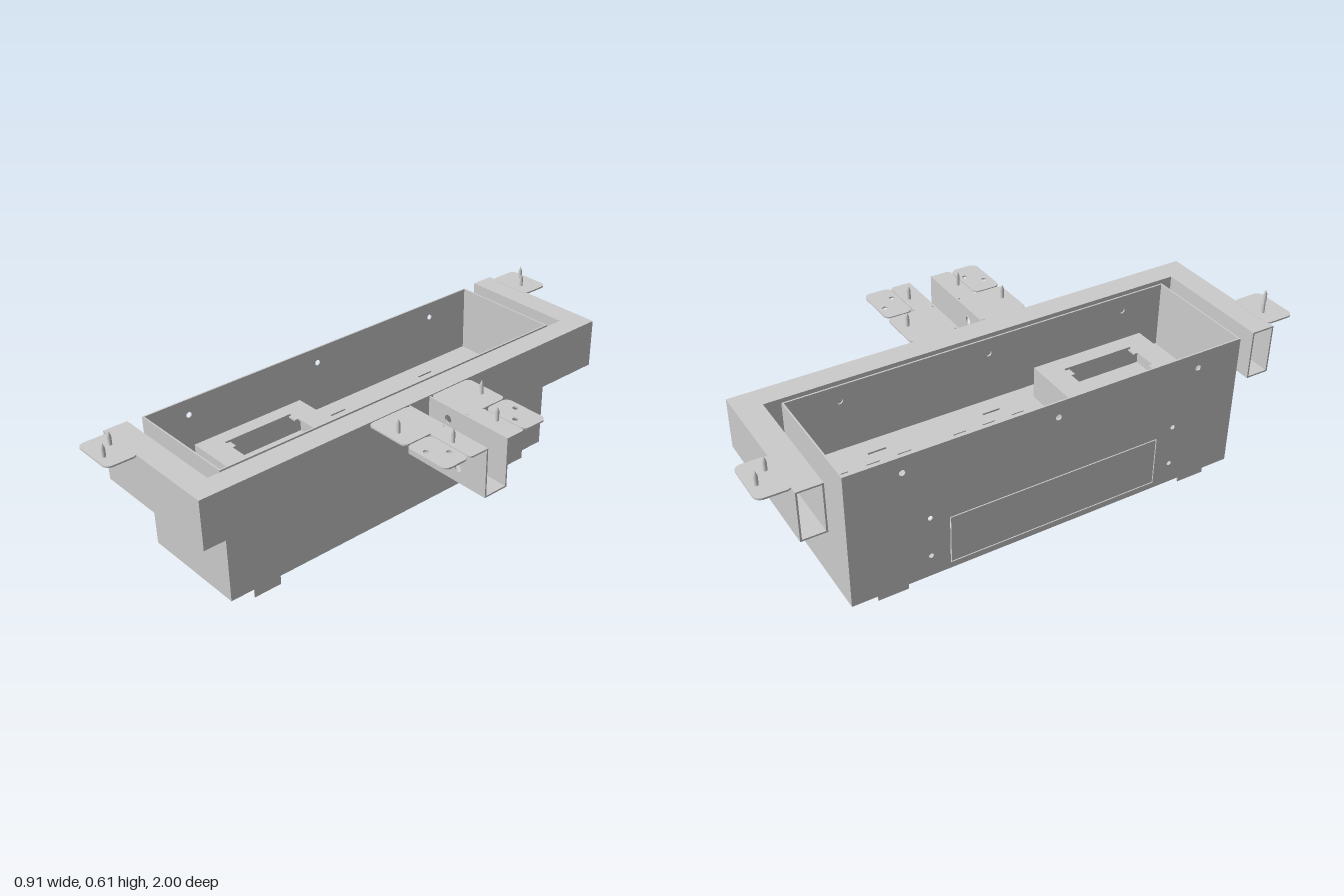
import * as THREE from 'three';

const material = new THREE.MeshStandardMaterial({ color: 0xcccccc, side: THREE.DoubleSide });
const T = 0.006; // sheet thickness

function add(parent, name, geometry, x = 0, y = 0, z = 0) {
  const mesh = new THREE.Mesh(geometry, material);
  mesh.name = name;
  mesh.position.set(x, y, z);
  parent.add(mesh);
  return mesh;
}

// Box given by its limits on each axis
function slab(parent, name, [x0, x1], [y0, y1], [z0, z1]) {
  return add(parent, name, new THREE.BoxGeometry(x1 - x0, y1 - y0, z1 - z0),
    (x0 + x1) / 2, (y0 + y1) / 2, (z0 + z1) / 2);
}

// Rectangle outline with optionally rounded corners
function rect(x0, x1, y0, y1, r = 0, Kind = THREE.Shape) {
  const s = new Kind();
  if (!r) return s.moveTo(x0, y0).lineTo(x1, y0).lineTo(x1, y1).lineTo(x0, y1).closePath();
  s.absarc(x1 - r, y0 + r, r, -Math.PI / 2, 0);
  s.absarc(x1 - r, y1 - r, r, 0, Math.PI / 2);
  s.absarc(x0 + r, y1 - r, r, Math.PI / 2, Math.PI);
  s.absarc(x0 + r, y0 + r, r, Math.PI, Math.PI * 1.5);
  return s.closePath();
}
const slot = (x0, x1, y0, y1) => rect(x0, x1, y0, y1, 0, THREE.Path);
const hole = (x, y, r) => new THREE.Path().absarc(x, y, r, 0, Math.PI * 2, true);

function sheet(shape, holes, depth = T, curveSegments = 8) {
  shape.holes.push(...holes);
  return new THREE.ExtrudeGeometry(shape, { depth, bevelEnabled: false, curveSegments });
}
// Shape drawn in x,z with its upper face at y
const flat = (parent, name, shape, y, holes = [], depth = T) =>
  add(parent, name, sheet(shape, holes, depth).rotateX(Math.PI / 2), 0, y, 0);
// Shape drawn in z,y with its +x face at x
const sideWall = (parent, name, shape, x, holes = []) =>
  add(parent, name, sheet(shape, holes).rotateY(-Math.PI / 2), x, 0, 0);

// Upward pointing screw with its head under the sheet
function screw(parent, x, z) {
  const profile = [[0, 0.54], [0.009, 0.541], [0.013, 0.547], [0.013, 0.55],
    [0.007, 0.551], [0.007, 0.588], [0, 0.606]].map(p => new THREE.Vector2(...p));
  add(parent, 'screw', new THREE.LatheGeometry(profile, 12), x, 0, z);
}

function buildTrough() {
  const g = new THREE.Group();
  g.name = 'trough';
  const X0 = -0.455, X1 = -0.015, Z = 0.745, Y0 = 0.037, Y1 = 0.55;
  const rimHoles = () => [-0.55, 0.01, 0.57].map(z => hole(z, 0.49, 0.011));

  // Outer long wall with an access opening and its inset cover
  const outerHoles = [...rimHoles(), slot(-0.39, 0.42, 0.06, 0.25)];
  for (const z of [-0.46, 0.485]) for (const y of [0.12, 0.275]) outerHoles.push(hole(z, y, 0.009));
  sideWall(g, 'outerWall', rect(-Z, Z, Y0, Y1), X0 + T, outerHoles);
  sideWall(g, 'accessCover', rect(-0.386, 0.416, 0.064, 0.246), X0 + T);
  sideWall(g, 'innerWall', rect(-Z, Z, Y0, Y1), X1, rimHoles());
  for (const s of [-1, 1]) {
    slab(g, 'endWall', [X0, X1], [Y0, Y1], s > 0 ? [Z - T, Z] : [-Z, -Z + T]);
  }

  // Floor with a round opening, its notches and a slotted knockout
  const floorHoles = [hole(-0.23, -0.4, 0.125)];
  for (const x of [-0.325, -0.145]) {
    for (const z of [-0.18, -0.09, 0, 0.09]) floorHoles.push(slot(x, x + 0.01, z, z + 0.07));
  }
  for (const z of [-0.2, 0.17]) floorHoles.push(slot(-0.3, -0.16, z, z + 0.008));
  flat(g, 'floor', rect(X0, X1, -Z, Z), Y0 + T, floorHoles);
  for (let i = 0; i < 4; i++) {
    const a = Math.PI / 4 + i * Math.PI / 2;
    const lug = add(g, 'openingLug', new THREE.BoxGeometry(0.03, T, 0.05),
      -0.23 + Math.cos(a) * 0.115, Y0 + T / 2, -0.4 + Math.sin(a) * 0.115);
    lug.rotation.y = -a;
  }

  // Mounting feet hanging from the floor edges
  for (const z of [-0.595, 0.595]) {
    slab(g, 'foot', [-0.447, -0.443], [0.01, 0.045], [z - 0.055, z + 0.055]);
    slab(g, 'foot', [-0.022, -0.018], [0, 0.045], [z - 0.055, z + 0.055]);
  }
  return g;
}

function buildInnerPanel() {
  const g = new THREE.Group();
  g.name = 'innerPanel';
  const Y = 0.3, TOP = 0.42;
  const holes = [];
  for (const z of [-0.46, -0.02]) {
    for (const x of [-0.375, -0.09]) holes.push(slot(x - 0.004, x + 0.004, z - 0.035, z + 0.035));
  }
  for (const z of [-0.27, 0.625]) {
    holes.push(slot(-0.255, -0.21, z - 0.015, z - 0.005), slot(-0.255, -0.21, z + 0.005, z + 0.015));
  }
  // Slits around the two closed device positions
  for (const z of [-0.5, -0.06]) {
    for (const x of [-0.325, -0.147]) {
      for (const dz of [-0.115, 0, 0.115]) holes.push(slot(x, x + 0.007, z + dz - 0.025, z + dz + 0.025));
    }
  }
  flat(g, 'panel', rect(-0.445, -0.022, -0.735, 0.735), Y, holes);
  for (const z of [-0.5, -0.06]) {
    flat(g, 'deviceCover', rect(-0.316, -0.149, z - 0.14, z + 0.14), Y + 0.004, [], 0.004);
    for (const s of [-1, 1]) {
      flat(g, 'coverEar', rect(-0.275, -0.19, z + s * 0.147 - 0.007, z + s * 0.147 + 0.007), Y + 0.004,
        [hole(-0.232, z + s * 0.147, 0.004)], 0.004);
    }
  }

  // Raised housing with an open device window
  flat(g, 'housingTop', rect(-0.375, -0.085, 0.155, 0.605), TOP, [slot(-0.32, -0.145, 0.24, 0.52)]);
  for (const x of [-0.375, -0.085 - T]) slab(g, 'housingSide', [x, x + T], [Y, TOP], [0.155, 0.605]);
  for (const z of [0.155, 0.605 - T]) slab(g, 'housingEnd', [-0.375, -0.085], [Y, TOP], [z, z + T]);
  for (const z of [0.24, 0.505]) {
    for (const x of [-0.31, -0.19]) slab(g, 'windowLug', [x, x + 0.035], [TOP - T, TOP], [z, z + 0.015]);
  }
  return g;
}

function buildFrame() {
  const g = new THREE.Group();
  g.name = 'frame';
  const X0 = -0.455, X1 = 0.085, XI = 0, Z = 0.89, ZI = 0.8, Y0 = 0.37, Y1 = 0.555;
  const outline = () => new THREE.Shape([[X0, -Z], [X1, -Z], [X1, Z], [X0, Z], [X0, ZI], [XI, ZI],
    [XI, -ZI], [X0, -ZI]].map(p => new THREE.Vector2(...p)));
  // Hollow C-shaped tube, open at the arm ends
  flat(g, 'frameTop', outline(), Y1);
  flat(g, 'frameBottom', outline(), Y0 + T);
  const h = [Y0, Y1];
  slab(g, 'frameOuterSide', [X1 - T, X1], h, [-Z, Z]);
  slab(g, 'frameInnerSide', [XI, XI + T], h, [-ZI, ZI]);
  for (const s of [-1, 1]) {
    const span = (a, b) => s > 0 ? [a, b] : [-b, -a];
    slab(g, 'armOuterSide', [X0, X1], h, span(Z - T, Z));
    slab(g, 'armInnerSide', [X0, XI + T], h, span(ZI, ZI + T));
    // Fixing tab beyond each arm
    flat(g, 'armTab', rect(-0.432, -0.252, ...span(0.88, 1), 0.025), 0.556);
    screw(g, -0.365, s > 0 ? 0.918 : -0.97);
    screw(g, -0.315, s > 0 ? 0.97 : -0.922);
  }
  return g;
}

function buildBracket() {
  const g = new THREE.Group();
  g.name = 'sideBracket';
  const X0 = 0.087, X1 = 0.452, Y0 = 0.365, Y1 = 0.553, W = 0.05;
  slab(g, 'channelBottom', [X0, X1], [Y0, Y0 + T], [-W, W]);
  for (const s of [-1, 1]) {
    const span = (a, b) => s > 0 ? [a, b] : [-b, -a];
    // Channel wall with two bolt holes
    add(g, 'channelWall', sheet(rect(X0, X1, Y0, Y1),
      [hole(0.18, 0.505, 0.015), hole(0.325, 0.42, 0.015)], T, 16), 0, 0, s > 0 ? W - T : -W);
    // Top flange divided into three leaves
    flat(g, 'wideFlange', rect(X0, 0.265, ...span(W, 0.23), 0.02), Y1);
    flat(g, 'narrowFlange', rect(0.262, X1, ...span(W - T, 0.122), 0.012), Y1);
    flat(g, 'fixingTab', rect(0.27, X1, ...span(0.126, 0.23), 0.025), Y1,
      [hole(0.335, s * 0.203, 0.01), hole(0.385, s * 0.15, 0.01)]);
    screw(g, 0.19, s * 0.19);
    screw(g, 0.35, s * 0.1);
  }
  return g;
}

export function createModel() {
  const model = new THREE.Group();
  model.name = 'mountedTrough';
  model.add(buildTrough(), buildInnerPanel(), buildFrame(), buildBracket());
  return model;
}
